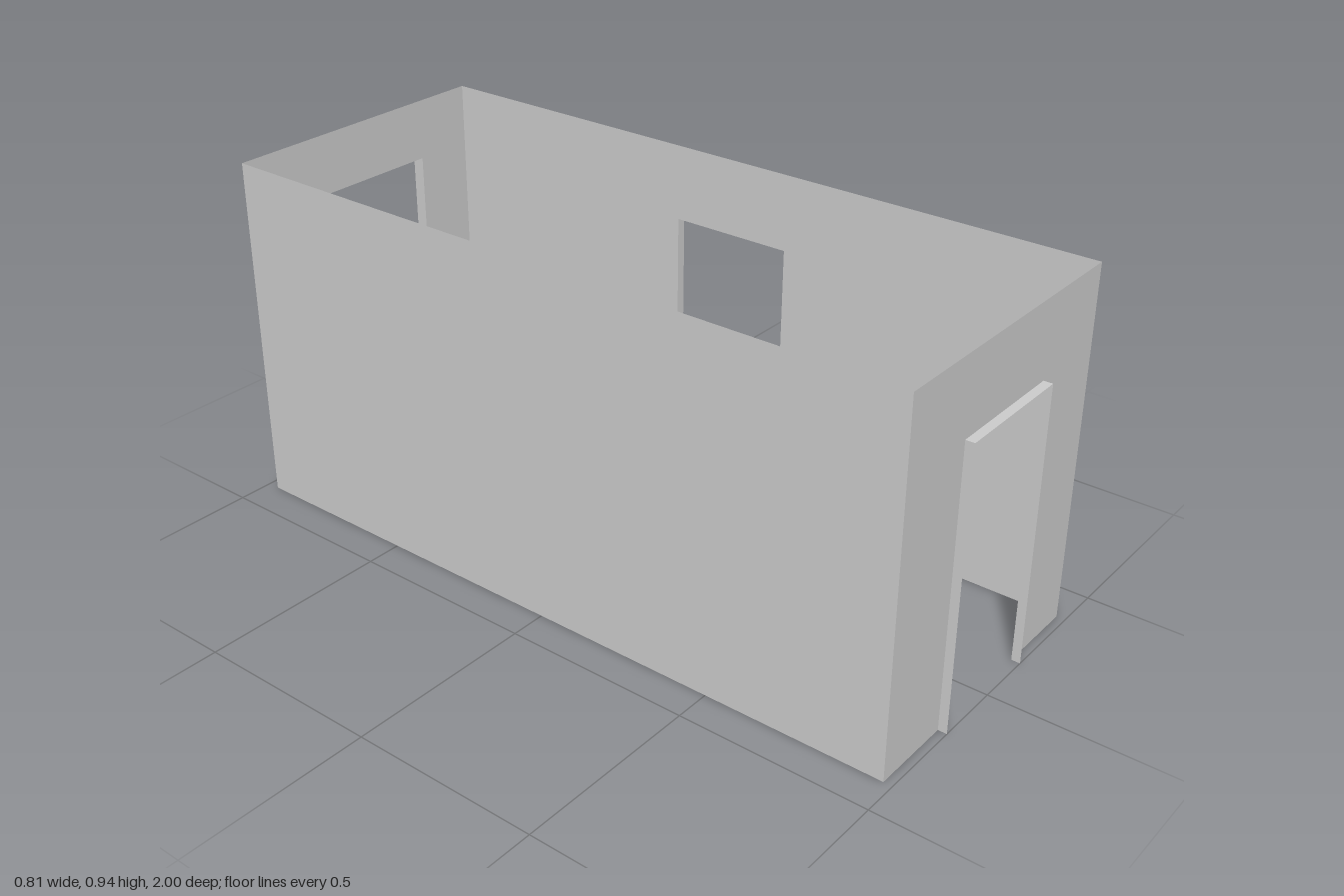
import * as THREE from 'three';

const HEIGHT = 0.94;
const X0 = -0.405, X1 = 0.38, Z0 = -0.967, Z1 = 0.977;

const material = new THREE.MeshStandardMaterial({ color: 0xcccccc, side: THREE.DoubleSide });

function addMesh(parent, name, geometry) {
  const mesh = new THREE.Mesh(geometry, material);
  mesh.name = name;
  parent.add(mesh);
  return mesh;
}

// Thin wall in its local xy plane, facing local +z, with an optional doorway
// whose lining stands out from the outer face.
function makeWall({ name, from, to, door, position, turn }) {
  const wall = new THREE.Group();
  wall.name = name;
  const points = [[from, 0]];
  if (door) {
    const { left, right, top } = door;
    points.push([left, 0], [left, top], [right, top], [right, 0]);
  }
  points.push([to, 0], [to, HEIGHT], [from, HEIGHT]);
  const shape = new THREE.Shape(points.map(([x, y]) => new THREE.Vector2(x, y)));
  addMesh(wall, name + 'Panel', new THREE.ShapeGeometry(shape));
  if (door) addLining(wall, door);
  wall.position.set(...position);
  wall.rotation.y = turn;
  return wall;
}

// Two jambs and a head, each a thin sheet.
function addLining(wall, { left, right, top, depth }) {
  for (const [name, x] of [['leftJamb', left], ['rightJamb', right]]) {
    const jamb = addMesh(wall, name, new THREE.PlaneGeometry(depth, top));
    jamb.rotation.y = x === left ? Math.PI / 2 : -Math.PI / 2;
    jamb.position.set(x, top / 2, depth / 2);
  }
  const head = addMesh(wall, 'doorHead', new THREE.PlaneGeometry(right - left, depth));
  head.rotation.x = Math.PI / 2;
  head.position.set((left + right) / 2, top, depth / 2);
}

export function createModel() {
  const model = new THREE.Group();
  model.name = 'roomShell';
  const walls = [
    { name: 'frontWall', from: X0, to: X1, position: [0, 0, Z1], turn: 0,
      door: { left: -0.18, right: 0.154, top: 0.738, depth: 1 - Z1 } },
    { name: 'backWall', from: -X1, to: -X0, position: [0, 0, Z0], turn: Math.PI,
      door: { left: -0.212, right: 0.19, top: 0.775, depth: 1 + Z0 } },
    { name: 'leftWall', from: -Z1, to: -Z0, position: [X1, 0, 0], turn: Math.PI / 2,
      door: { left: -0.137, right: 0.198, top: 0.738, depth: 0.025 } },
    { name: 'rightWall', from: Z0, to: Z1, position: [X0, 0, 0], turn: -Math.PI / 2 },
  ];
  for (const wall of walls) model.add(makeWall(wall));
  return model;
}
